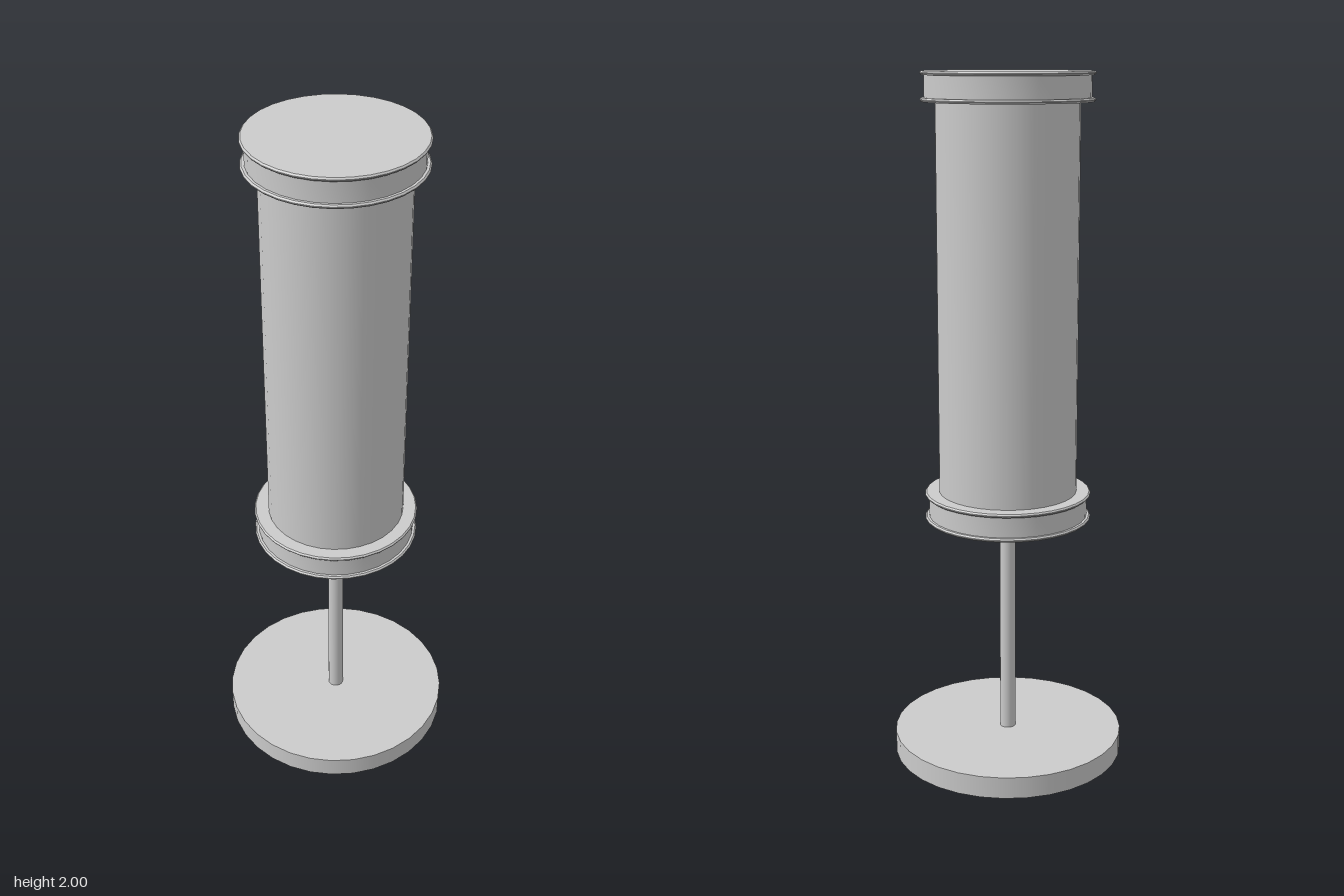
import * as THREE from 'three';
import { toCreasedNormals } from 'three/addons/utils/BufferGeometryUtils.js';

const SEGMENTS = 32;

export function createModel() {
  const model = new THREE.Group();
  model.name = 'cylinderOnStand';
  const material = new THREE.MeshStandardMaterial({ color: 0xcccccc });

  function add(name, geometry, y) {
    const mesh = new THREE.Mesh(geometry, material);
    mesh.name = name;
    mesh.position.y = y;
    model.add(mesh);
  }

  // Upright cylinder spanning two heights
  function column(name, radius, bottom, top) {
    const geometry = new THREE.CylinderGeometry(radius, radius, top - bottom, SEGMENTS);
    add(name, geometry, (bottom + top) / 2);
  }

  // Stand and body
  column('base', 0.34, 0, 0.064);
  column('stem', 0.023, 0.06, 0.74);
  column('body', 0.2, 0.76, 1.96);

  // End cap: a recessed band between two thin bevelled lips
  const height = 0.082, lip = 0.011, band = 0.23, edge = 0.237, rim = 0.241;
  const profile = [
    [0, 0], [edge, 0], [rim, lip * 0.4], [rim, lip * 0.6], [edge, lip], [band, lip],
    [band, height - lip], [edge, height - lip], [rim, height - lip * 0.6],
    [rim, height - lip * 0.4], [edge, height], [0, height],
  ].map(([x, y]) => new THREE.Vector2(x, y));
  const cap = toCreasedNormals(new THREE.LatheGeometry(profile, SEGMENTS), 0.6);
  add('lowerCap', cap, 0.73);
  add('upperCap', cap, 2 - height);

  return model;
}
